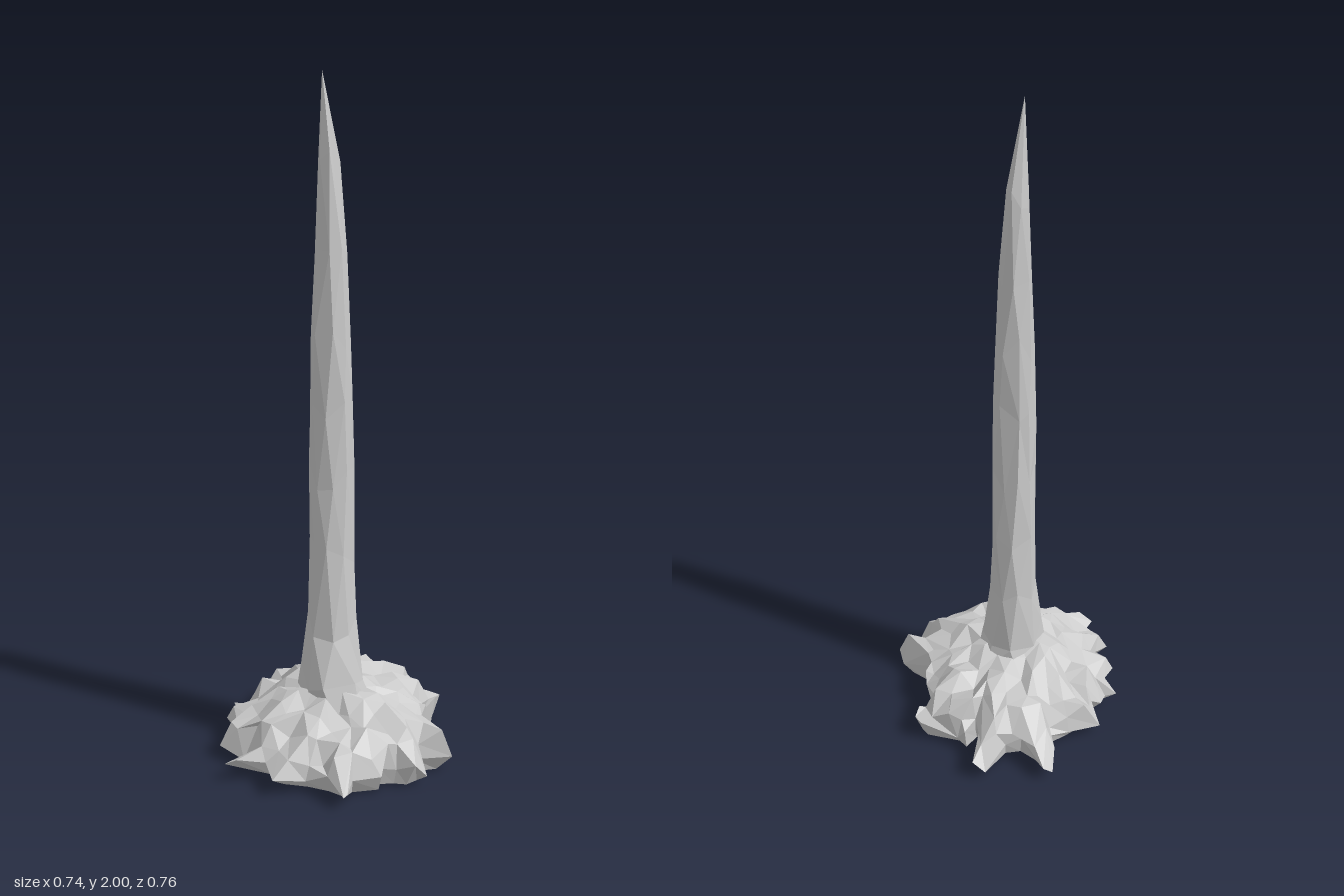
import * as THREE from 'three';

// Plan outline of the rubble mound as x, z pairs
const OUTLINE = [
  0.345, 0.005, 0.37, 0.04, 0.27, 0.09, 0.33, 0.135, 0.31, 0.175, 0.25, 0.175, 0.21, 0.2, 0.23, 0.235,
  0.165, 0.29, 0.175, 0.345, 0.17, 0.36, 0.1, 0.32, 0.03, 0.32, -0.045, 0.38, -0.1, 0.32, -0.17, 0.365,
  -0.215, 0.36, -0.19, 0.29, -0.29, 0.26, -0.265, 0.19, -0.335, 0.14, -0.32, 0.09, -0.37, 0.035,
  -0.335, 0.03, -0.33, -0.01, -0.305, -0.04, -0.345, -0.09, -0.26, -0.155, -0.21, -0.21, -0.24, -0.26,
  -0.25, -0.32, -0.225, -0.335, -0.135, -0.26, -0.09, -0.28, -0.055, -0.382, -0.015, -0.382, 0, -0.25,
  0.02, -0.235, 0.04, -0.285, 0.07, -0.265, 0.185, -0.275, 0.21, -0.26, 0.21, -0.22, 0.18, -0.175,
  0.215, -0.11, 0.24, -0.03,
];

let seed = 11;
function jitter(amount) {
  seed = (seed * 16807) % 2147483647;
  return (seed / 2147483647 - 0.5) * 2 * amount;
}

// Ring points carry t (turn fraction), so rings of different counts can be stitched
const point = (t, x, y, z) => ({ t, p: [x, y, z] });

// Jittered ring; radiusX and radiusZ are functions of t
function ring(n, cx, cz, y, radiusX, radiusZ, { dr, dy, dt = 0.25, shift = 0.5 }) {
  return Array.from({ length: n }, (_, i) => {
    const t = (i + shift + jitter(dt)) / n, a = t * Math.PI * 2, k = 1 + jitter(dr);
    return point(t, cx + Math.cos(a) * radiusX(t) * k, y + jitter(dy), cz + Math.sin(a) * radiusZ(t) * k);
  });
}

// Joins rings from bottom to top with flat facets
function loft(name, rings, material) {
  const pos = [];
  const next = (r, i) => (i + 1 < r.length ? r[i + 1].t : i + 1 === r.length ? 1 + r[0].t : Infinity);
  for (let k = 0; k + 1 < rings.length; k++) {
    const A = rings[k], B = rings[k + 1];
    const a = (i) => A[i % A.length].p, b = (j) => B[j % B.length].p;
    let i = 0, j = 0;
    while (i < A.length || j < B.length) {
      if (next(A, i) < next(B, j)) {
        if (A.length > 1) pos.push(...a(i), ...b(j), ...a(i + 1));
        i++;
      } else {
        if (B.length > 1) pos.push(...a(i), ...b(j), ...b(j + 1));
        j++;
      }
    }
  }
  const geometry = new THREE.BufferGeometry();
  geometry.setAttribute('position', new THREE.Float32BufferAttribute(pos, 3));
  geometry.computeVertexNormals();
  const mesh = new THREE.Mesh(geometry, material);
  mesh.name = name;
  return mesh;
}

export function createModel() {
  const group = new THREE.Group();
  group.name = 'rockSpire';
  const stone = new THREE.MeshStandardMaterial({ color: 0xcccccc, flatShading: true, side: THREE.DoubleSide });

  // Jagged rim of the mound and the flat foot beneath it
  const rim = [], foot = [];
  for (let i = 0; i < OUTLINE.length; i += 2) {
    const x = OUTLINE[i], z = OUTLINE[i + 1], r = Math.hypot(x, z);
    const t = (Math.atan2(z, x) / (Math.PI * 2) + 1) % 1;
    rim.push({ ...point(t, x, 0.06 + jitter(0.03), z), r });
    const k = Math.min(0.35 * r + 0.19, 0.96 * r) / r;
    foot.push(point(t, x * k, 0.011 - 0.03 * x, z * k));
  }
  const rimRadius = (t) => {
    const i = rim.findIndex((q) => q.t > t);
    const q1 = rim[i < 0 ? 0 : i], q0 = rim[i <= 0 ? rim.length - 1 : i - 1];
    const span = (q1.t - q0.t + 1) % 1;
    return THREE.MathUtils.lerp(q0.r, q1.r, ((t - q0.t + 1) % 1) / span);
  };

  // Ledge that follows the rim by a share k, rounder as k falls
  const ledge = (n, cx, cz, y, k, base, dr, dy) => {
    const radius = (t) => k * rimRadius((t + 1) % 1) + base;
    return ring(n, cx, cz, y, radius, radius, { dr, dy });
  };

  // Rubble mound: flat underside, rim, then uneven ledges up to the spire
  group.add(loft('rubbleMound', [
    [point(0, 0, 0.011, 0)],
    foot,
    rim,
    ledge(40, 0, 0, 0.105, 0.7, 0.07, 0.06, 0.03),
    ledge(34, 0, 0, 0.145, 0.45, 0.105, 0.09, 0.03),
    ledge(28, -0.005, 0.01, 0.172, 0.25, 0.115, 0.1, 0.03),
    ledge(20, -0.015, 0.03, 0.195, 0.1, 0.11, 0.1, 0.03),
    ledge(12, -0.02, 0.045, 0.222, 0, 0.098, 0.06, 0.02),
    [point(0, -0.02, 0.24, 0.05)],
  ], stone));

  // Spire: y, minimum x, maximum x, minimum z, maximum z
  const sections = [
    [0.15, -0.125, 0.11, -0.07, 0.175], [0.24, -0.112, 0.078, -0.052, 0.156],
    [0.42, -0.096, 0.048, -0.047, 0.12], [0.64, -0.092, 0.041, -0.041, 0.102],
    [0.86, -0.091, 0.037, -0.034, 0.094], [1.08, -0.09, 0.034, -0.027, 0.091],
    [1.29, -0.081, 0.028, -0.023, 0.089], [1.5, -0.072, 0.019, -0.019, 0.081],
    [1.74, -0.062, 0, -0.004, 0.065],
  ];
  const spire = sections.map(([y, x0, x1, z0, z1], i) =>
    ring(8, (x0 + x1) / 2, (z0 + z1) / 2, y, () => (x1 - x0) / 2, () => (z1 - z0) / 2,
      { dr: 0.06, dy: i ? 0.05 : 0, dt: 0.2, shift: 0.4 + 0.2 * (i % 2) }));
  spire.push([point(0.5, -0.045, 2, 0.043)]);
  group.add(loft('spire', spire, stone));

  return group;
}
